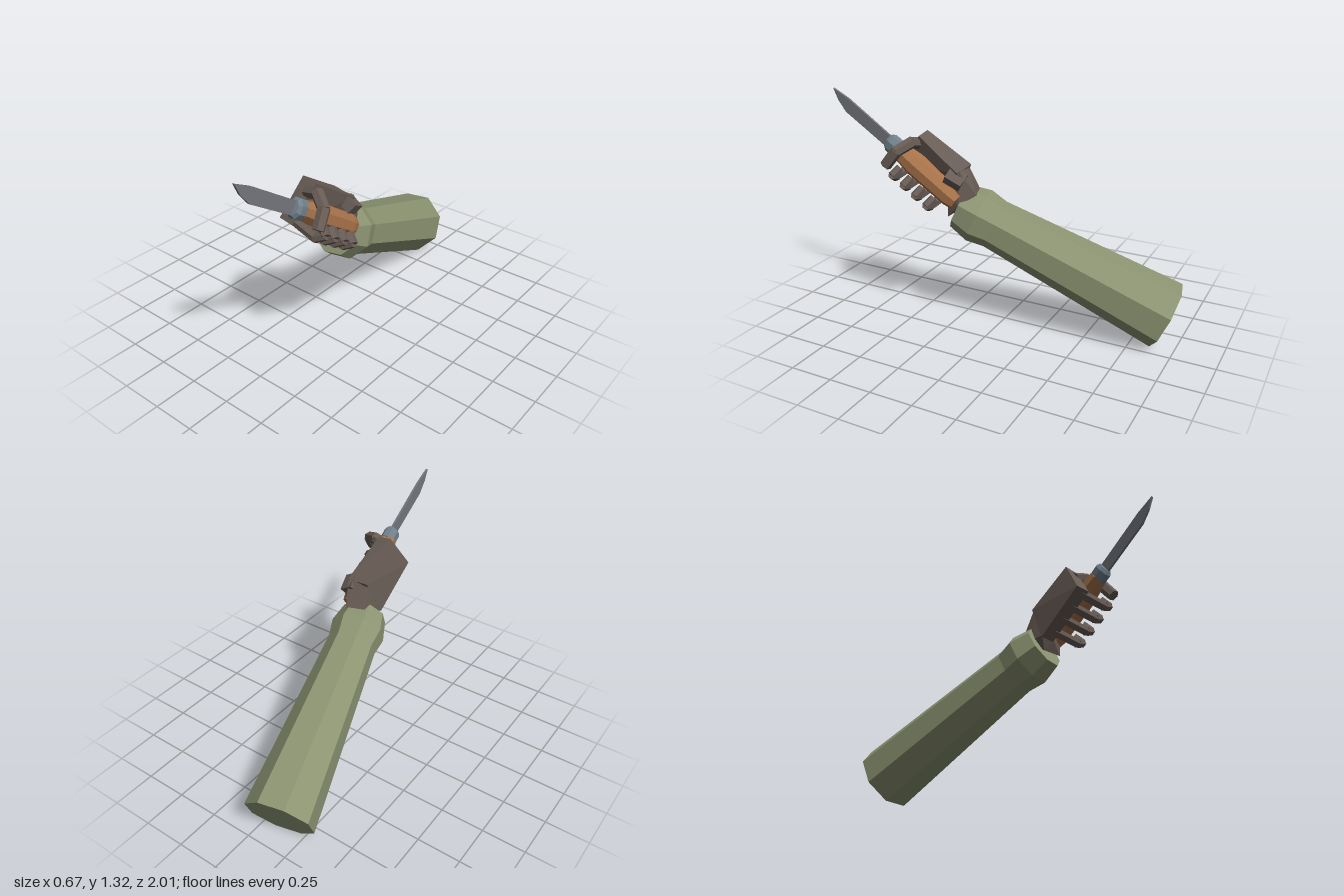
import * as THREE from 'three';
import { ConvexGeometry } from 'three/addons/geometries/ConvexGeometry.js';

const mat = (color) => new THREE.MeshStandardMaterial({ color, flatShading: true });
const cloth = mat(0x8c9472), glove = mat(0x685c55), wood = mat(0xa8734a);
const steel = mat(0x74767c), guardSteel = mat(0x71808c);
const V = (p) => new THREE.Vector3(...p);

function add(parent, name, geometry, material) {
  const mesh = new THREE.Mesh(geometry, material);
  mesh.name = name;
  parent.add(mesh);
  return mesh;
}

// Eight-sided turned body along +z from [radius, z] pairs
function octagonal(profile) {
  const pts = profile.map(([r, z]) => new THREE.Vector2(r, z));
  return new THREE.LatheGeometry(pts, 8, Math.PI / 8).rotateX(Math.PI / 2);
}

// Chain of six-sided finger segments through points
function finger(parent, name, points, radius) {
  const group = new THREE.Group();
  group.name = name;
  parent.add(group);
  for (let i = 0; i + 1 < points.length; i++) {
    const a = V(points[i]), b = V(points[i + 1]);
    const dir = b.clone().sub(a);
    const geo = new THREE.CylinderGeometry(radius * 0.95, radius, dir.length() + radius * 0.5, 6);
    const seg = add(group, 'fingerSegment', geo, glove);
    seg.position.copy(a).add(b).multiplyScalar(0.5);
    seg.quaternion.setFromUnitVectors(new THREE.Vector3(0, 1, 0), dir.normalize());
  }
}

export function createModel() {
  const model = new THREE.Group();
  model.name = 'armWithKnife';

  // Sleeve with flared cuff
  const sleeve = add(model, 'sleeve', octagonal([
    [0, 0], [0.197, 0], [0.142, 1.076], [0.16, 1.179], [0.131, 1.295], [0, 1.295],
  ]), cloth);
  sleeve.position.set(-0.16, 0.17, -0.92);
  sleeve.rotation.set(-0.433, 0.228, 0, 'YXZ');

  // Wrist bridging cuff and palm
  add(model, 'wrist', new ConvexGeometry([
    [0.04, 0.78, 0.12], [0.15, 0.81, 0.1], [0.21, 0.75, 0.18], [0.19, 0.67, 0.26],
    [0.07, 0.67, 0.26], [0.03, 0.74, 0.2],
    [0.032, 0.74, 0.29], [0.12, 0.73, 0.29], [0.06, 0.95, 0.2], [0.19, 0.94, 0.18],
    [0.205, 0.82, 0.25],
  ].map(V)), glove);

  // Grip frame: z runs along the knife, y across it towards the knuckles
  const grip = new THREE.Group();
  grip.name = 'grip';
  grip.position.set(0, 0.9, 0.4);
  grip.rotation.x = -0.588;
  model.add(grip);

  // Palm slab, rolled slightly and thicker at the heel
  add(grip, 'palm', new ConvexGeometry([
    [0.03, -0.078, 0.155], [0.11, -0.09, 0.155], [0.08, 0.158, 0.16], [0.165, 0.142, 0.155],
    [0.03, -0.078, -0.19], [0.11, -0.09, -0.19], [0.06, 0.165, -0.155], [0.2, 0.145, -0.155],
    [0.15, 0.05, -0.19],
  ].map(V)), glove);

  // Knife handle and guard
  const handle = add(grip, 'handle', octagonal([
    [0, -0.24], [0.052, -0.24], [0.064, -0.19], [0.068, 0.08], [0.05, 0.225], [0, 0.225],
  ]), wood);
  handle.position.x = 0.185;
  const guard = add(grip, 'guard', octagonal([
    [0, 0.215], [0.045, 0.215], [0.046, 0.27], [0.034, 0.29], [0, 0.29],
  ]), guardSteel);
  guard.position.x = 0.185;
  guard.scale.y = 1.25;

  // Blade with clipped point
  const outline = [[0.26, -0.038], [0.596, -0.043], [0.674, -0.017], [0.735, 0.021],
    [0.624, 0.035], [0.26, 0.035]].map(([w, n]) => new THREE.Vector2(w, n));
  const bladeGeo = new THREE.ExtrudeGeometry(new THREE.Shape(outline), { depth: 0.013, bevelEnabled: false });
  bladeGeo.translate(0, 0, -0.0065).rotateY(-Math.PI / 2);
  add(grip, 'blade', bladeGeo, steel).position.x = 0.185;

  // Four fingers curling under the handle
  for (let i = 0; i < 4; i++) {
    const w = 0.12 - i * 0.086;
    finger(grip, 'finger', [[0.07, -0.06, w], [0.25, -0.105, w], [0.297, -0.078, w], [0.262, -0.042, w]], 0.027);
  }

  // Digit crossing over the handle behind the guard
  finger(grip, 'overhandDigit', [[0.13, 0.09, 0.14], [0.2, 0.1, 0.16], [0.28, 0.04, 0.18], [0.295, -0.055, 0.185]], 0.034);

  // Knuckle wedge at the heel of the hand
  const heel = add(model, 'handHeel', new THREE.BoxGeometry(0.09, 0.06, 0.1), glove);
  heel.position.set(0.185, 0.9, 0.21);
  heel.rotation.set(-0.5, 0.2, -0.5);

  return model;
}
